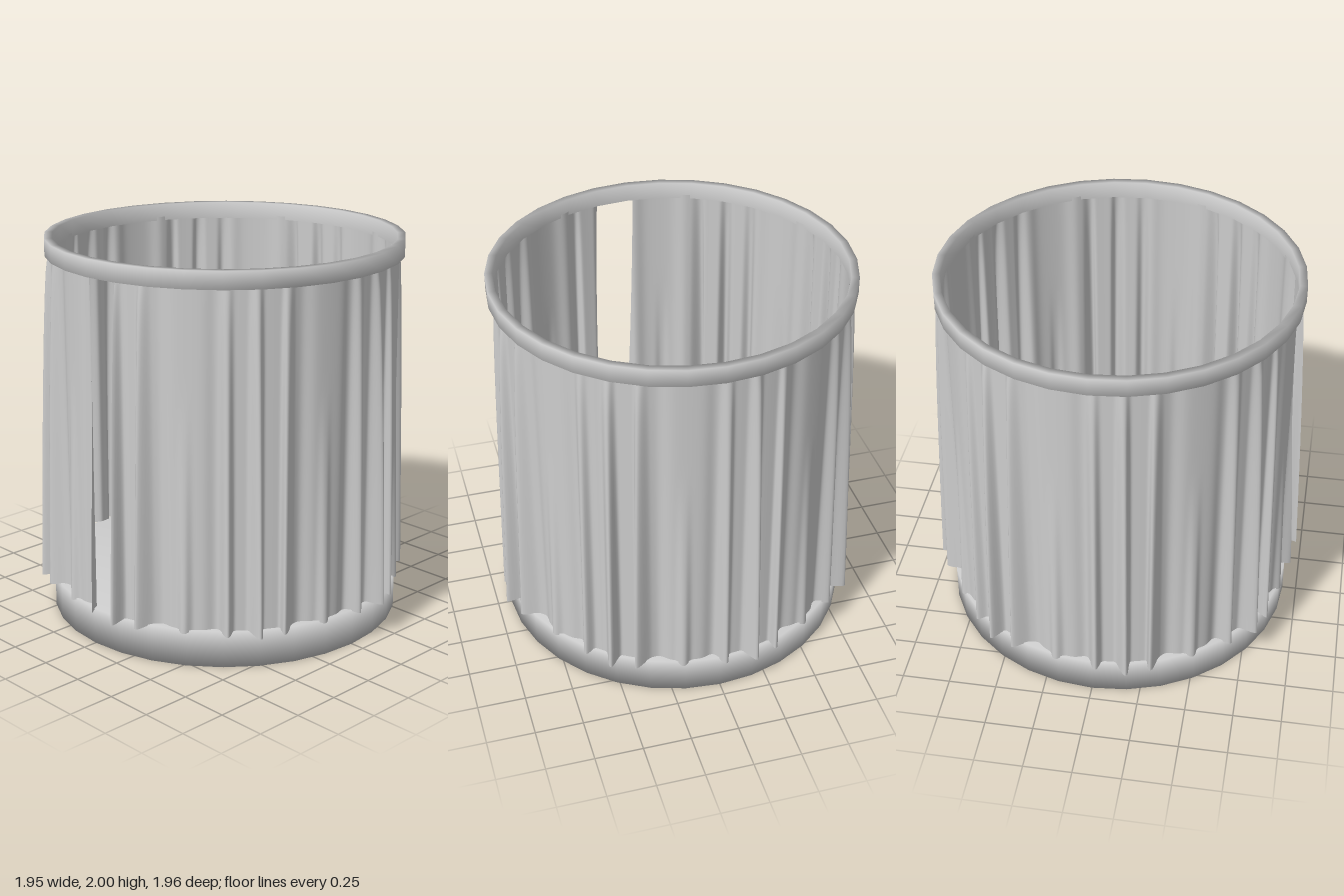
import * as THREE from 'three';

const TOP = 1.93, HEM = 0.19, PANEL = 45, RAD = Math.PI / 180;

// folds repeated in every panel: angle, depth, half width, lean (degrees), start of the fold down the cloth
const FOLDS = [
  { at: 1, depth: 0.055, width: 1.6, lean: 0.3, from: 0 },
  { at: 10, depth: 0.087, width: 1.6, lean: 0.8, from: 0 },
  { at: 20, depth: 0.065, width: 1.5, lean: -1.6, from: 0 },
  { at: 33, depth: 0.03, width: 1.8, lean: 0, from: 0.33 },
];
const DIPS = [{ at: 25, depth: 0.028, width: 3 }, { at: 42.5, depth: 0.02, width: 2.5 }];

// bell-shaped bump around an angle, repeating each panel
function bump(angle, at, width, power) {
  let d = (angle - at) % PANEL;
  if (d > PANEL / 2) d -= PANEL;
  if (d < -PANEL / 2) d += PANEL;
  return Math.exp(-Math.pow(Math.abs(d) / width, power));
}

// open cloth hung in narrow folds that deepen towards the hem
function curtainGeometry() {
  const geometry = new THREE.PlaneGeometry(1, 1, 840, 16);
  const pos = geometry.attributes.position;
  for (let i = 0; i < pos.count; i++) {
    const t = 0.5 - pos.getY(i);
    const start = 10.6 - 0.8 * t;
    const end = 358.2 + 2.6 * t;
    const angle = start + (end - start) * (pos.getX(i) + 0.5);
    let radius = 0.893 + 0.015 * t;
    let turn = 0, drop = 0;
    for (const f of FOLDS) {
      const s = Math.max(0, (t - f.from) / (1 - f.from));
      const grow = f.from > 0 ? s : 0.15 + 0.85 * Math.pow(s, 0.6);
      const b = bump(angle, f.at, f.width, 2.6) * grow;
      radius += f.depth * b;
      turn += f.lean * b;
      drop += 0.014 * b * t;
    }
    for (const d of DIPS) radius -= d.depth * bump(angle, d.at, d.width, 2) * (0.5 + 0.5 * t);
    const a = (angle + turn) * RAD;
    pos.setXYZ(i, radius * Math.sin(a), TOP + (HEM - TOP) * t - drop, radius * Math.cos(a));
  }
  geometry.computeVertexNormals();
  return geometry;
}

// turned part with soft corners
function turned(points) {
  return new THREE.LatheGeometry(points.map(([x, y]) => new THREE.Vector2(x, y)), 32);
}

export function createModel() {
  const group = new THREE.Group();
  const grey = new THREE.MeshStandardMaterial({ color: 0xcccccc, side: THREE.DoubleSide });
  grey.name = 'light grey';

  const add = (name, geometry) => {
    const mesh = new THREE.Mesh(geometry, grey);
    mesh.name = name;
    group.add(mesh);
  };

  // round tray at the foot
  add('base', turned([[0, 0], [0.925, 0], [0.925, HEM], [0, HEM]]));
  // flat hoop that carries the cloth
  add('topRail', turned([[0.885, 1.91], [0.925, 1.91], [0.925, 2], [0.885, 2], [0.885, 1.91]]));
  add('curtain', curtainGeometry());
  return group;
}
